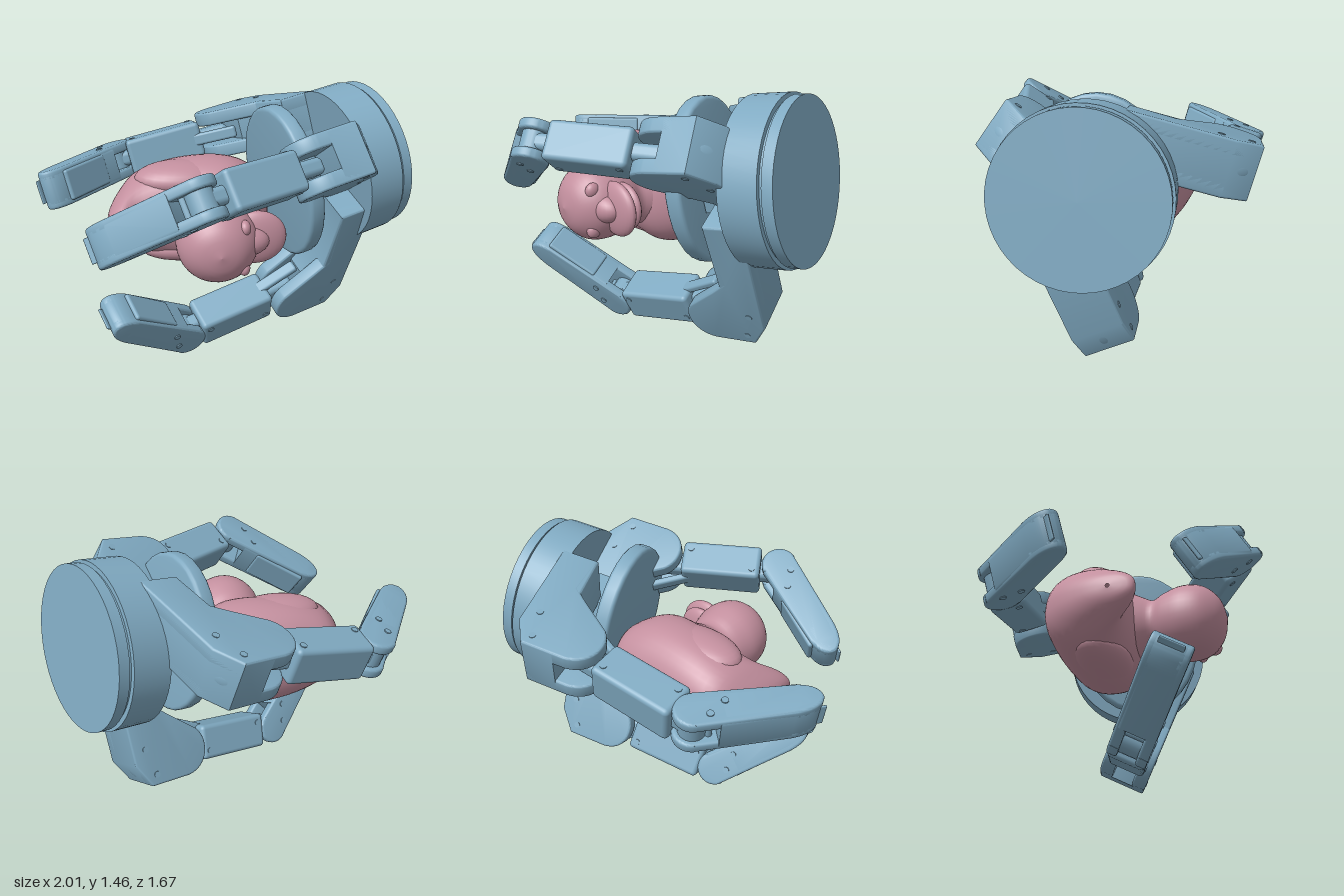
import * as THREE from 'three';
import { RoundedBoxGeometry } from 'three/addons/geometries/RoundedBoxGeometry.js';
import { toCreasedNormals } from 'three/addons/utils/BufferGeometryUtils.js';

const blue = new THREE.MeshStandardMaterial({ color: 0x80aac2 });
const pink = new THREE.MeshStandardMaterial({ color: 0xc4909f });
const V = (x, y, z) => new THREE.Vector3(x, y, z);

// Gripper axis: points out through the mounting disc
const axis = V(0.935, 0.15, -0.32).normalize();
const discCentre = V(0.86, 1.01, -0.22);

function add(parent, name, geometry, material, x = 0, y = 0, z = 0) {
  const mesh = new THREE.Mesh(geometry, material);
  mesh.name = name;
  mesh.position.set(x, y, z);
  parent.add(mesh);
  return mesh;
}

// Bevelled plate of a given width, centred on z
function plate(shape, width, bevel) {
  const g = new THREE.ExtrudeGeometry(shape, {
    depth: width - 2 * bevel, bevelThickness: bevel, bevelSize: bevel,
    bevelOffset: -bevel, bevelSegments: 3, curveSegments: 16,
  });
  g.translate(0, 0, -width / 2 + bevel);
  return toCreasedNormals(g, 0.6);
}

// Knuckle housing outline, x along the finger, y outward, hinge at the origin
function housingShape(arm) {
  const s = new THREE.Shape();
  s.moveTo(-0.41, -arm);
  s.lineTo(-0.2, -arm);
  s.lineTo(-0.19, -0.29);
  s.lineTo(-0.1, -0.22);
  s.lineTo(0.07, -0.1);
  s.quadraticCurveTo(0.13, -0.04, 0.11, 0.05);
  s.quadraticCurveTo(0.08, 0.14, -0.02, 0.15);
  s.lineTo(-0.25, 0.15);
  s.lineTo(-0.34, 0.02);
  s.closePath();
  return s;
}

// Solid back part of the housing, between the cheeks
function coreShape(arm) {
  const s = new THREE.Shape();
  s.moveTo(-0.41, -arm);
  s.lineTo(-0.2, -arm);
  s.lineTo(-0.16, -0.26);
  s.lineTo(-0.08, -0.15);
  s.lineTo(-0.08, 0.15);
  s.lineTo(-0.25, 0.15);
  s.lineTo(-0.34, 0.02);
  s.closePath();
  return s;
}

function fingertipShape(start) {
  const s = new THREE.Shape();
  s.moveTo(start, 0.095);
  s.lineTo(0.46, 0.08);
  s.quadraticCurveTo(0.59, 0.07, 0.61, 0);
  s.quadraticCurveTo(0.61, -0.07, 0.5, -0.085);
  s.lineTo(start, -0.1);
  if (start === 0) s.absarc(0, 0, 0.097, -Math.PI / 2, -Math.PI * 1.5, true);
  else s.closePath();
  return s;
}

// Two small bolts on both sides
function bolts(parent, spots, width) {
  for (const [x, y] of spots) {
    const g = new THREE.CylinderGeometry(0.018, 0.018, width + 0.008, 12);
    add(parent, 'bolt', g.rotateX(Math.PI / 2), blue, x, y, 0);
  }
}

function finger(name, hinge, radial, arm, spread, curl, length) {
  const e1 = axis.clone().negate();
  const e2 = radial.clone().addScaledVector(e1, -radial.dot(e1)).normalize();
  const e3 = e1.clone().cross(e2);
  const root = new THREE.Group();
  root.name = name;
  root.quaternion.setFromRotationMatrix(new THREE.Matrix4().makeBasis(e1, e2, e3));
  root.position.copy(hinge);

  // Housing: core with two hinge cheeks
  add(root, 'housingCore', plate(coreShape(arm), 0.28, 0.012), blue);
  for (const side of [-1, 1])
    add(root, 'housingCheek', plate(housingShape(arm), 0.08, 0.012), blue, 0, 0, side * 0.101);
  bolts(root, [[-0.27, -0.06], [-0.22, 0.09]], 0.28);
  const cap = add(root, 'backCap', new THREE.SphereGeometry(0.06, 16, 10), blue, -0.29, 0.08, 0);
  cap.scale.set(0.15, 0.85, 0.55);
  cap.rotation.z = -0.6;

  // Middle link
  const mid = new THREE.Group();
  mid.name = 'middleLink';
  mid.rotation.z = spread;
  root.add(mid);
  add(mid, 'tongue', new RoundedBoxGeometry(length + 0.1, 0.12, 0.09, 3, 0.03), blue, length / 2, 0, 0);
  add(mid, 'linkBody', new RoundedBoxGeometry(0.45, 0.2, 0.21, 3, 0.025), blue, 0.35, 0, 0);
  add(mid, 'pullRod', new RoundedBoxGeometry(0.28, 0.04, 0.07, 2, 0.015), blue, 0.06, -0.12, 0).rotation.z = 0.35;
  bolts(mid, [[0.17, 0.05], [0.53, -0.05]], 0.21);

  // Fingertip with fork, pad and nail
  const tip = new THREE.Group();
  tip.name = 'fingertip';
  tip.position.set(length * Math.cos(spread), length * Math.sin(spread), 0);
  tip.rotation.z = curl;
  root.add(tip);
  add(tip, 'tipBody', plate(fingertipShape(0.11), 0.21, 0.03), blue);
  for (const side of [-1, 1])
    add(tip, 'tipFork', plate(fingertipShape(0), 0.056, 0.014), blue, 0, 0, side * 0.077);
  add(tip, 'hingePin', new THREE.CylinderGeometry(0.07, 0.07, 0.19, 20).rotateX(Math.PI / 2), blue);
  add(tip, 'pad', new RoundedBoxGeometry(0.32, 0.03, 0.17, 3, 0.014), blue, 0.36, -0.088, 0);
  add(tip, 'nail', new RoundedBoxGeometry(0.05, 0.012, 0.13, 2, 0.005), blue, 0.595, 0.03, 0);
  bolts(tip, [[0.07, 0.035], [0.15, -0.03]], 0.213);
  return root;
}

// Closed loft along x; each section is [x, z low, z high, half width in y]
function loft(sections, n) {
  const pos = [], idx = [];
  const curves = [0, 1, 2, 3].map((k) => sections.map((s) => s[k]));
  const steps = (sections.length - 1) * 4;
  const sample = (a, t) => {
    const i = Math.min(Math.floor(t), a.length - 2), f = t - i;
    const p = (j) => a[Math.max(0, Math.min(a.length - 1, j))];
    const m0 = (p(i + 1) - p(i - 1)) / 2, m1 = (p(i + 2) - p(i)) / 2;
    const f2 = f * f, f3 = f2 * f;
    return (2 * f3 - 3 * f2 + 1) * p(i) + (f3 - 2 * f2 + f) * m0 + (3 * f2 - 2 * f3) * p(i + 1) + (f3 - f2) * m1;
  };
  const soft = (c) => Math.sign(c) * Math.pow(Math.abs(c), 0.88);
  for (let i = 0; i <= steps; i++) {
    const [x, lo, hi, w] = curves.map((c) => sample(c, i / 4));
    for (let j = 0; j < n; j++) {
      const a = (j / n) * Math.PI * 2;
      pos.push(x, w * soft(Math.cos(a)), (lo + hi) / 2 + ((hi - lo) / 2) * soft(Math.sin(a)));
      if (i < steps) {
        const p = i * n + j, q = i * n + ((j + 1) % n);
        idx.push(p, q, p + n, q, q + n, p + n);
      }
    }
  }
  const g = new THREE.BufferGeometry();
  g.setAttribute('position', new THREE.Float32BufferAttribute(pos, 3));
  g.setIndex(idx);
  g.computeVertexNormals();
  return g;
}

// Toy duck lying on its side: its up is +z, its beak points to +x
function duck() {
  const g = new THREE.Group();
  g.name = 'toyDuck';
  g.position.y = 0.77;
  add(g, 'duckBody', loft([
    [-0.635, 0.08, 0.1, 0.01], [-0.62, -0.05, 0.21, 0.07], [-0.56, -0.22, 0.21, 0.14],
    [-0.47, -0.31, 0.13, 0.21], [-0.3, -0.335, 0.11, 0.27], [-0.1, -0.34, 0.14, 0.297],
    [0.06, -0.34, 0.15, 0.28], [0.18, -0.31, 0.07, 0.215], [0.245, -0.2, 0.0, 0.13], [0.26, -0.11, -0.09, 0.01],
  ], 40), pink);
  // Neck and head turned about the up direction
  const profile = new THREE.SplineCurve([[0.24, 0.02], [0.18, 0.13], [0.155, 0.19], [0.185, 0.26],
    [0.21, 0.36], [0.19, 0.47], [0.11, 0.55], [0, 0.58]].map(([x, y]) => new THREE.Vector2(x, y)));
  const pts = profile.getPoints(28);
  pts[pts.length - 1].x = 0;
  add(g, 'duckHead', new THREE.LatheGeometry(pts, 36).rotateX(Math.PI / 2), pink, -0.08, 0.02, 0);
  const blob = (name, x, y, z, sx, sy, sz) =>
    add(g, name, new THREE.SphereGeometry(1, 28, 18), pink, x, y, z).scale.set(sx, sy, sz);
  blob('upperBeak', 0.12, 0.03, 0.385, 0.155, 0.145, 0.05);
  blob('beakRidge', 0.05, 0.03, 0.42, 0.13, 0.08, 0.08);
  blob('lowerBeak', 0.11, 0.03, 0.325, 0.13, 0.125, 0.045);
  for (const side of [-1, 1]) {
    blob('duckEye', 0.045, 0.02 + side * 0.11, 0.48, 0.03, 0.04, 0.04);
    blob('duckWing', -0.22, side * 0.2, -0.07, 0.26, 0.09, 0.15);
  }
  return g;
}

export function createModel() {
  const model = new THREE.Group();
  model.name = 'gripperHoldingDuck';

  // Palm stack turned about the gripper axis (local -y goes towards the fingers)
  const palm = new THREE.Group();
  palm.name = 'palm';
  palm.position.copy(discCentre);
  palm.quaternion.setFromUnitVectors(V(0, 1, 0), axis);
  model.add(palm);
  const drum = (name, r, top, bottom, sides = 48) => add(palm, name,
    toCreasedNormals(new THREE.CylinderGeometry(r, r, top - bottom, sides), 0.5), blue, 0, (top + bottom) / 2, 0);
  drum('mountFlange', 0.418, 0, -0.055);
  drum('flangeGroove', 0.405, -0.05, -0.075);
  drum('mountDrum', 0.43, -0.07, -0.27);
  drum('hub', 0.2, -0.26, -0.5, 6);
  const face = new THREE.Shape();
  face.absellipse(0, 0, 0.435, 0.36, 0, Math.PI * 2);
  const palmPlate = add(model, 'palmPlate', plate(face, 0.09, 0.02), blue);
  const up = V(0, 1, 0).addScaledVector(axis, -axis.y).normalize();
  palmPlate.quaternion.setFromRotationMatrix(
    new THREE.Matrix4().makeBasis(up, axis.clone().cross(up), axis));
  palmPlate.position.copy(discCentre).addScaledVector(axis, -0.555);

  // Three fingers around the palm: a close pair and one opposing them
  const deg = Math.PI / 180;
  model.add(finger('lowerFinger', V(0.37, 0.22, -0.1), V(0, -0.9, -0.42), 0.68, 3 * deg, -45 * deg, 0.66));
  model.add(finger('backFinger', V(0.05, 1.04, -0.62), V(-0.28, -0.25, -0.93), 0.52, 11 * deg, -34 * deg, 0.65));
  model.add(finger('frontFinger', V(0.4, 1.13, 0.32), V(0.18, 0.57, 0.8), 0.38, 15 * deg, -40 * deg, 0.68));

  model.add(duck());
  return model;
}
